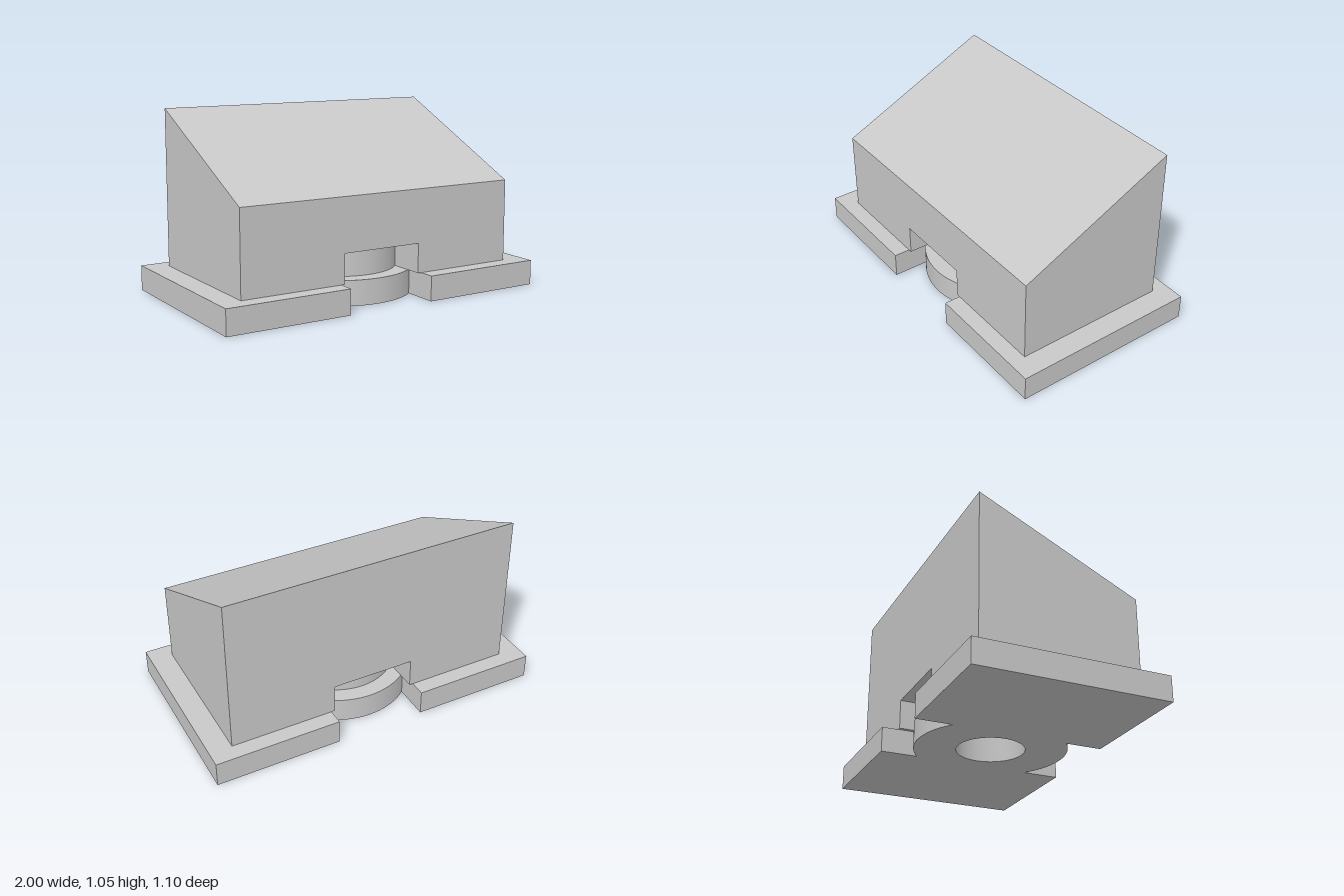
import * as THREE from 'three';
import { toCreasedNormals } from 'three/addons/utils/BufferGeometryUtils.js';

const HOLE_R = 0.193;

// Rectangular slab with a notch front and back, each ending in a round boss, and a central bore
function notchedSlab(hx, hz, notch, r, y0, y1) {
  const a = Math.acos(notch / r);
  const shape = new THREE.Shape();
  shape.moveTo(hx, -hz);
  shape.lineTo(hx, hz);
  shape.lineTo(notch, hz);
  shape.absarc(0, 0, r, a, Math.PI - a, false);
  shape.lineTo(-notch, hz);
  shape.lineTo(-hx, hz);
  shape.lineTo(-hx, -hz);
  shape.lineTo(-notch, -hz);
  shape.absarc(0, 0, r, Math.PI + a, 2 * Math.PI - a, false);
  shape.lineTo(notch, -hz);
  shape.closePath();
  shape.holes.push(new THREE.Path().absarc(0, 0, HOLE_R, 0, Math.PI * 2, true));
  const geo = new THREE.ExtrudeGeometry(shape, { depth: y1 - y0, bevelEnabled: false, curveSegments: 40 });
  geo.rotateX(-Math.PI / 2);
  geo.translate(0, y0, 0);
  return toCreasedNormals(geo, 0.5);
}

// Wedge-topped block: side profile swept across x
function wedge(hx, hz, y0, yFront, yBack) {
  const profile = new THREE.Shape([
    new THREE.Vector2(-hz, y0),
    new THREE.Vector2(hz, y0),
    new THREE.Vector2(hz, yBack),
    new THREE.Vector2(-hz, yFront),
  ]);
  const geo = new THREE.ExtrudeGeometry(profile, { depth: 2 * hx, bevelEnabled: false });
  geo.translate(0, 0, -hx);
  geo.rotateY(Math.PI / 2);
  return geo;
}

export function createModel() {
  const group = new THREE.Group();
  group.name = 'wedgeBlockOnBase';
  const grey = new THREE.MeshStandardMaterial({ color: 0xc8c8c8 });
  grey.name = 'lightGrey';

  const add = (name, geo) => {
    const mesh = new THREE.Mesh(geo, grey);
    mesh.name = name;
    group.add(mesh);
  };

  add('basePlate', notchedSlab(1, 0.55, 0.265, 0.43, 0, 0.145));
  add('lowerBody', notchedSlab(0.868, 0.455, 0.243, 0.335, 0.145, 0.315));
  add('slopedBody', wedge(0.868, 0.455, 0.315, 0.624, 1.055));
  return group;
}
